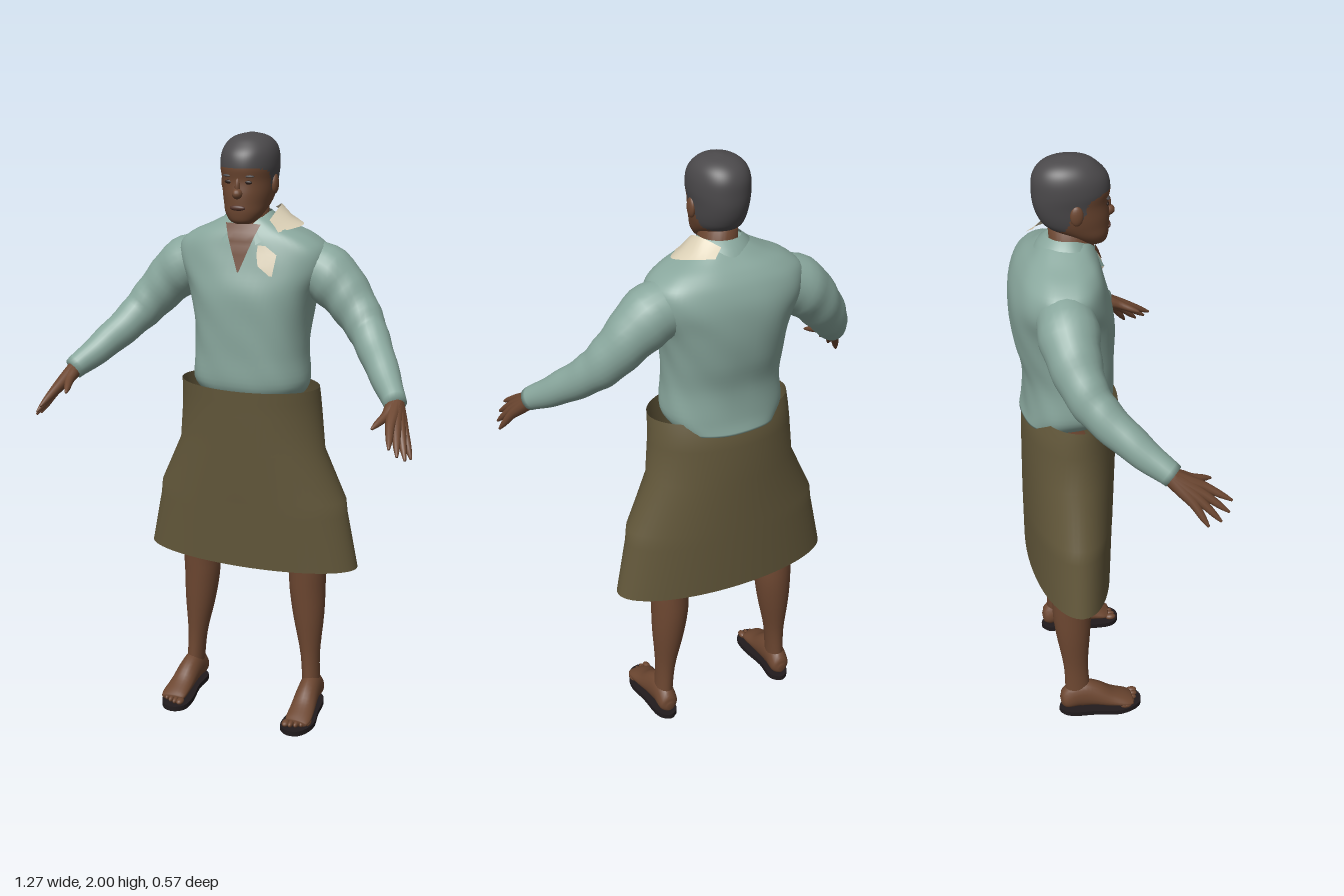
import * as THREE from 'three';

const mat = (name, color, side = THREE.FrontSide) => {
  const m = new THREE.MeshStandardMaterial({ color, side });
  m.name = name;
  return m;
};

// Catmull-Rom subdivision of rows of numbers
function smoothRows(rows, steps) {
  const out = [];
  for (let i = 0; i < rows.length - 1; i++) {
    const p0 = rows[Math.max(i - 1, 0)], p1 = rows[i], p2 = rows[i + 1], p3 = rows[Math.min(i + 2, rows.length - 1)];
    for (let k = 0; k < steps; k++) {
      const t = k / steps;
      out.push(p1.map((_, c) => 0.5 * (2 * p1[c] + (p2[c] - p0[c]) * t
        + (2 * p0[c] - 5 * p1[c] + 4 * p2[c] - p3[c]) * t * t
        + (3 * p1[c] - p0[c] - 3 * p2[c] + p3[c]) * t * t * t)));
    }
  }
  out.push(rows[rows.length - 1]);
  return out;
}

// Skin over rings of points; rings may be closed loops or open strips
function skin(rings, { loop = true, caps = true, pick = null } = {}) {
  const n = rings[0].length, pts = rings.flat(), lists = [[], []];
  const tri = (a, b, c) => {
    const mid = pts[a].clone().add(pts[b]).add(pts[c]).divideScalar(3);
    lists[pick && pick(mid) ? 1 : 0].push(a, b, c);
  };
  for (let i = 0; i < rings.length - 1; i++) {
    for (let j = 0; j < (loop ? n : n - 1); j++) {
      const a = i * n + j, b = i * n + (j + 1) % n;
      tri(a, b, b + n);
      tri(a, b + n, a + n);
    }
  }
  if (loop && caps) {
    [0, rings.length - 1].forEach((r) => {
      const c = pts.length;
      pts.push(rings[r].reduce((s, p) => s.add(p), new THREE.Vector3()).divideScalar(n));
      for (let j = 0; j < n; j++) {
        const a = r * n + j, b = r * n + (j + 1) % n;
        if (r === 0) tri(c, b, a); else tri(c, a, b);
      }
    });
  }
  const g = new THREE.BufferGeometry().setFromPoints(pts);
  g.setIndex([...lists[0], ...lists[1]]);
  if (pick) {
    g.addGroup(0, lists[0].length, 0);
    g.addGroup(lists[0].length, lists[1].length, 1);
  }
  g.computeVertexNormals();
  return g;
}

// Level ring from [y, halfWidth, zFront, zBack, centreX]
const sp = (v, e) => Math.sign(v) * Math.abs(v) ** e;
function levelRing([y, a, zf, zb, cx = 0], n, power = 2, fold = 0) {
  return Array.from({ length: n }, (_, j) => {
    const q = j / n * Math.PI * 2, f = 1 + fold * Math.sin(q * 7 + y * 16) * Math.sin(y * 23 + q * 2);
    return new THREE.Vector3(cx + a * f * sp(Math.sin(q), 2 / power), y,
      (zf + zb) / 2 + (zf - zb) / 2 * f * sp(Math.cos(q), 2 / power));
  });
}

// Limb through rows of [x, y, z, radiusAcross, radiusUp]
function limb(rows, n = 16, steps = 4, fold = 0) {
  const s = smoothRows(rows, steps), P = s.map((r) => new THREE.Vector3(r[0], r[1], r[2]));
  const up = new THREE.Vector3(0, 1, 0);
  return skin(s.map((r, i) => {
    const t = P[Math.min(i + 1, P.length - 1)].clone().sub(P[Math.max(i - 1, 0)]).normalize();
    const u = up.clone().cross(t).normalize(), v = t.clone().cross(u);
    return Array.from({ length: n }, (_, j) => {
      const q = j / n * Math.PI * 2, f = 1 + fold * Math.sin(i * 1.3 + 2 * Math.sin(q));
      return P[i].clone().addScaledVector(u, r[3] * f * Math.cos(q)).addScaledVector(v, r[4] * f * Math.sin(q));
    });
  }));
}

export function createModel() {
  const model = new THREE.Group();
  const skinMat = mat('skin', 0x6d4731), hairMat = mat('hair', 0x4b494b);
  const shirtMat = mat('shirt', 0x89a79d, THREE.DoubleSide), skirtMat = mat('skirt', 0x62573a, THREE.DoubleSide);
  const scarfMat = mat('scarf', 0xd9ceb4, THREE.DoubleSide), soleMat = mat('sole', 0x211b1d);
  const eyeMat = mat('eyes', 0x2a1c17), lipMat = mat('lips', 0x55342a);
  const add = (name, geo, m) => {
    const mesh = new THREE.Mesh(geo, m);
    mesh.name = name;
    model.add(mesh);
    return mesh;
  };
  const blob = (name, m, pos, size) => {
    const g = new THREE.SphereGeometry(1, 16, 12).scale(...size).translate(...pos);
    return add(name, g, m);
  };

  // Shirt body
  const torso = smoothRows([
    [1.15, 0.165, 0.0, -0.262], [1.2, 0.196, 0.03, -0.252], [1.3, 0.19, 0.034, -0.25], [1.4, 0.195, 0.036, -0.272],
    [1.5, 0.215, 0.034, -0.285], [1.58, 0.25, 0.015, -0.283], [1.64, 0.25, 0.0, -0.265], [1.68, 0.205, -0.01, -0.24],
    [1.71, 0.14, -0.022, -0.21], [1.735, 0.09, -0.035, -0.185], [1.745, 0.068, -0.045, -0.17]], 5);
  add('shirtBody', skin(torso.map((r) => levelRing(r, 64, 2.4, 0.012))), shirtMat);
  const chestZ = (x, y) => {
    const r = torso.reduce((a, b) => (Math.abs(b[0] - y) < Math.abs(a[0] - y) ? b : a));
    const h = Math.max(0, 1 - Math.abs(x / r[1]) ** 2.4) ** (1 / 2.4);
    return (r[2] + r[3]) / 2 + (r[2] - r[3]) / 2 * h;
  };

  // Open neckline, neck and collar
  const vRows = Array.from({ length: 12 }, (_, i) => {
    const y = 1.575 + i * 0.0135, w = 0.002 + i * 0.0052;
    return [-1, -0.5, 0, 0.5, 1].map((s) => new THREE.Vector3(s * w, y, chestZ(s * w, y) + 0.007));
  });
  add('openNeckline', skin(vRows, { loop: false }), skinMat);
  add('neck', skin([[1.62, 0.07, -0.02, -0.16], [1.7, 0.06, -0.02, -0.155], [1.79, 0.058, -0.02, -0.16]]
    .map((r) => levelRing(r, 28))), skinMat);
  const collar = [[0.066, 1.757, 0.04], [0.09, 1.738, 0.06], [0.108, 1.708, 0.06]].map(([r, y, drop]) =>
    Array.from({ length: 33 }, (_, j) => {
      const q = 0.5 + j / 32 * (Math.PI * 2 - 1), f = Math.max(0, Math.cos(q)) ** 2;
      return new THREE.Vector3(r * Math.sin(q), y - drop * f, -0.1 + (r + 0.012 * f) * Math.cos(q));
    }));
  add('collar', skin(collar, { loop: false }), shirtMat);

  // Head, with the hair as the part above the hairline
  const hairline = [[0.06, 1.9], [0.0, 1.9], [-0.045, 1.885], [-0.065, 1.83], [-0.1, 1.83], [-0.12, 1.79], [-0.25, 1.765]];
  const isHair = (p) => {
    const k = hairline.findIndex((h) => h[0] <= p.z), a = hairline[k - 1], b = hairline[k];
    return p.y > a[1] + (b[1] - a[1]) * (a[0] - p.z) / (a[0] - b[0]);
  };
  const head = smoothRows([
    [1.725, 0.026, 0.002, -0.05], [1.735, 0.044, 0.016, -0.075], [1.76, 0.062, 0.023, -0.115], [1.79, 0.073, 0.025, -0.168],
    [1.82, 0.08, 0.025, -0.19], [1.86, 0.085, 0.022, -0.203], [1.9, 0.09, 0.028, -0.206], [1.94, 0.087, 0.02, -0.203],
    [1.97, 0.074, -0.006, -0.186], [1.99, 0.048, -0.037, -0.155], [2.0, 0.008, -0.085, -0.11]], 6);
  add('head', skin(head.map((r) => levelRing(r, 64, 2.1)), { pick: isHair }), [skinMat, hairMat]);
  blob('nose', skinMat, [0, 1.822, 0.022], [0.017, 0.017, 0.021]);
  blob('noseBridge', skinMat, [0, 1.843, 0.019], [0.009, 0.028, 0.013]);
  blob('lips', lipMat, [0, 1.778, 0.021], [0.026, 0.009, 0.009]);

  // Scarf draped over the left of the neck, with a front tail
  const edge = (pts) => new THREE.CatmullRomCurve3(pts.map((p) => new THREE.Vector3(...p))).getPoints(12);
  add('scarf', skin([
    edge([[0.045, 1.755, -0.2], [0.085, 1.775, -0.15], [0.09, 1.765, -0.1], [0.08, 1.735, -0.05]]),
    edge([[0.06, 1.745, -0.212], [0.11, 1.74, -0.17], [0.125, 1.735, -0.11], [0.1, 1.715, -0.045]]),
    edge([[0.075, 1.732, -0.222], [0.125, 1.725, -0.185], [0.168, 1.715, -0.125], [0.115, 1.7, -0.035]])],
  { loop: false }), scarfMat);
  add('scarfTail', skin([[1.57, 0.108, 0.116], [1.6, 0.068, 0.12], [1.635, 0.06, 0.124], [1.662, 0.062, 0.085]]
    .map(([y, a, b]) => [0, 0.5, 1].map((t) => {
      const x = a + (b - a) * t;
      return new THREE.Vector3(x, y, chestZ(x, y) + 0.014);
    })), { loop: false }), scarfMat);

  // Wrapped skirt, open at top and bottom
  add('skirt', skin([
    [0.56, 0.38, 0.015, -0.26], [0.75, 0.341, 0.025, -0.262], [0.8, 0.335, 0.028, -0.262], [0.97, 0.257, 0.04, -0.262],
    [1.1, 0.245, 0.045, -0.26], [1.15, 0.242, 0.048, -0.25], [1.19, 0.24, 0.05, -0.235]]
    .map((r) => levelRing(r, 64)), { caps: false }), skirtMat);

  for (const s of [1, -1]) {
    const side = s > 0 ? 'left' : 'right';
    const flip = (rows) => rows.map(([x, ...rest]) => [s * x, ...rest]);

    // Face details
    blob(side + 'Eye', eyeMat, [s * 0.032, 1.857, 0.014], [0.014, 0.006, 0.005]);
    blob(side + 'Brow', hairMat, [s * 0.034, 1.876, 0.014], [0.019, 0.004, 0.007]);
    blob(side + 'Ear', skinMat, [s * 0.085, 1.845, -0.085], [0.011, 0.031, 0.02]);

    // Sleeve
    add(side + 'Sleeve', limb(flip([
      [0.15, 1.595, -0.14, 0.085, 0.085], [0.25, 1.555, -0.14, 0.092, 0.093], [0.32, 1.49, -0.132, 0.08, 0.08],
      [0.38, 1.42, -0.108, 0.066, 0.07], [0.425, 1.365, -0.065, 0.058, 0.061], [0.49, 1.292, 0.02, 0.049, 0.051],
      [0.555, 1.226, 0.113, 0.035, 0.037]]), 24, 5, 0.025), shirtMat);

    // Hand: fingers fan out from the wrist
    [[[0.565, 1.185, 0.205], [0.585, 1.14, 0.285]], [[0.583, 1.17, 0.2], [0.607, 1.115, 0.272]],
      [[0.595, 1.16, 0.185], [0.625, 1.097, 0.245]], [[0.6, 1.155, 0.165], [0.633, 1.09, 0.205]],
      [[0.54, 1.203, 0.17], [0.517, 1.18, 0.235]]].forEach(([k, t], i) => {
      const w = [0.552, 1.23, 0.1], mix = (a, b, f) => a.map((v, c) => v + (b[c] - v) * f);
      add(side + (i < 4 ? 'Finger' : 'Thumb') + (i + 1), limb(flip([
        [...w, 0.026, 0.026], [...mix(w, k, 0.55), 0.021, 0.021], [...k, 0.015, 0.015],
        [...mix(k, t, 0.6), 0.0105, 0.0105], [...t, 0.004, 0.004]]), 10, 3), skinMat);
    });

    // Leg
    add(side + 'Leg', skin(smoothRows([
      [0.06, 0.03, -0.075, -0.168, 0.226], [0.2, 0.033, -0.085, -0.17, 0.217], [0.35, 0.054, -0.075, -0.193, 0.206],
      [0.46, 0.063, -0.068, -0.203, 0.199], [0.58, 0.066, -0.06, -0.2, 0.196], [0.78, 0.078, -0.04, -0.2, 0.16],
      [0.95, 0.085, -0.03, -0.19, 0.11]], 4).map((r) => levelRing([r[0], r[1], r[2], r[3], s * r[4]], 24))), skinMat);

    // Foot and toes
    add(side + 'Foot', limb(flip([
      [0.225, 0.05, -0.185, 0.012, 0.016], [0.225, 0.054, -0.168, 0.033, 0.036], [0.226, 0.076, -0.12, 0.036, 0.057],
      [0.228, 0.07, -0.07, 0.039, 0.05], [0.232, 0.049, -0.01, 0.043, 0.031], [0.235, 0.036, 0.045, 0.045, 0.018],
      [0.234, 0.031, 0.068, 0.038, 0.011]]), 20), skinMat);
    for (let i = 0; i < 5; i++) {
      blob(side + 'Toe' + (i + 1), skinMat, [s * (0.2 + i * 0.018), 0.029, 0.075 - i * i * 0.002], [i ? 0.009 : 0.013, 0.011, 0.02]);
    }

    // Sandal sole
    const outline = [[0.225, 0.19], [0.192, 0.165], [0.192, 0.08], [0.176, -0.02], [0.182, -0.08], [0.215, -0.105],
      [0.255, -0.095], [0.284, -0.03], [0.272, 0.06], [0.258, 0.165]].map(([x, y]) => new THREE.Vector3(s * x, y, 0));
    const shape = new THREE.Shape(new THREE.CatmullRomCurve3(outline, true).getPoints(40).slice(0, 40)
      .map((p) => new THREE.Vector2(p.x, p.y)));
    const sole = new THREE.ExtrudeGeometry(shape, { depth: 0.018, bevelEnabled: false });
    add(side + 'Sole', sole.rotateX(-Math.PI / 2).scale(1, 1, 1), soleMat);
  }
  return model;
}
